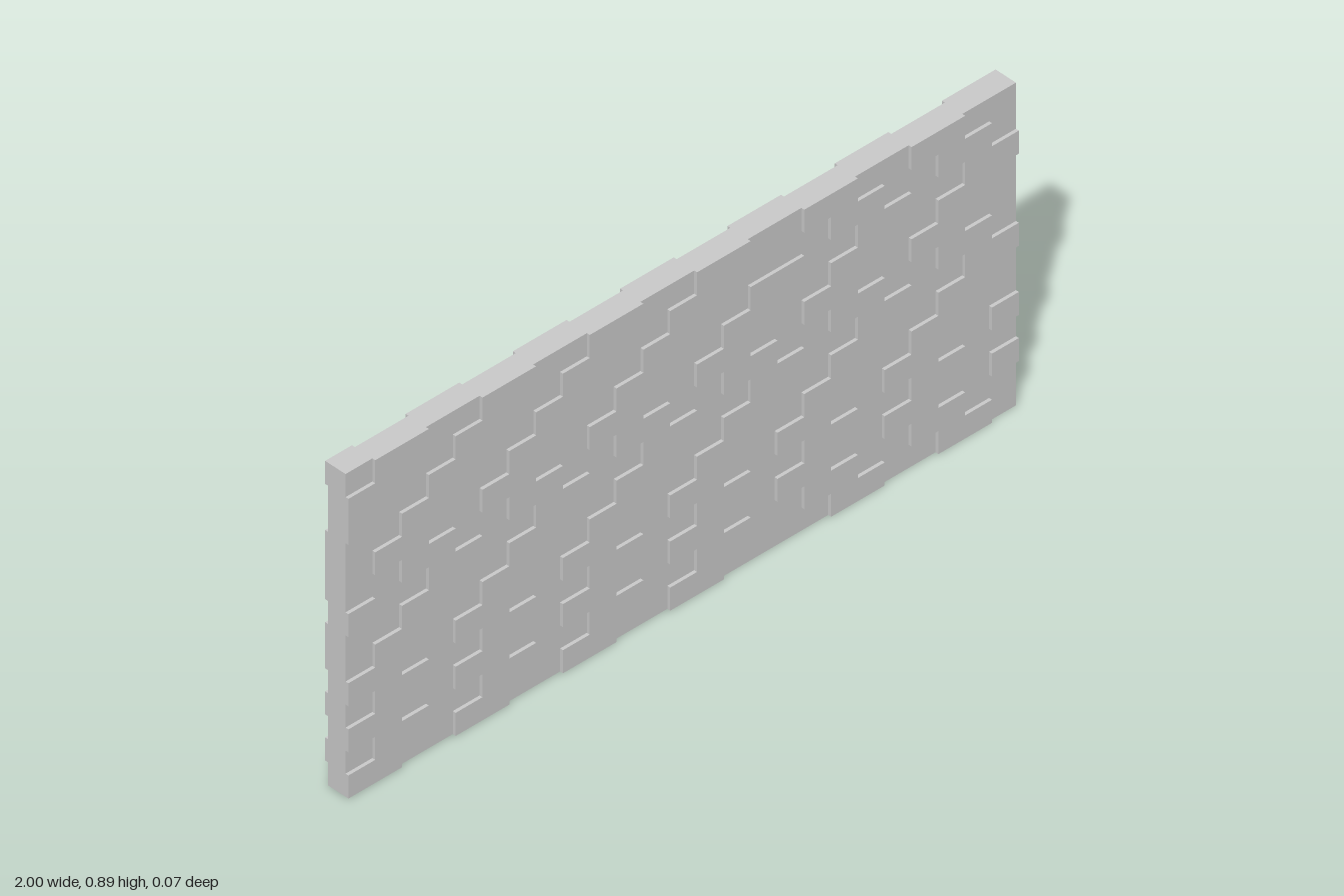
import * as THREE from 'three';

// Running-bond wall: full bricks with a half brick at alternating ends
const ROWS = 14, BRICK = 0.16, COURSE = 0.886 / ROWS, DEPTH = 0.064, SHIFT = 0.0045;
// Per course, bottom to top: does the last brick (+x end) stand forward (1) or back (0)?
const LAST = [0, 0, 1, 0, 1, 0, 0, 1, 0, 0, 0, 1, 0, 0];
// Courses whose alternation slips by one brick part-way along
const SLIPPED = [0, 12];

export function createModel() {
  const wall = new THREE.Group();
  wall.name = 'brickWall';
  const material = new THREE.MeshStandardMaterial({ color: 0xcccccc, flatShading: true });
  const full = new THREE.BoxGeometry(BRICK, COURSE, DEPTH);
  const half = new THREE.BoxGeometry(BRICK / 2, COURSE, DEPTH);

  for (let row = 0; row < ROWS; row++) {
    const course = new THREE.Group();
    course.name = 'course' + (row + 1);
    const halfIndex = row % 2 ? 0 : 12;
    let x = -1;
    for (let i = 0; i < 13; i++) {
      const isHalf = i === halfIndex;
      const width = isHalf ? BRICK / 2 : BRICK;
      const slip = SLIPPED.includes(row) && i < 8 ? 1 : 0;
      const forward = (LAST[row] + 12 - i + slip) % 2 === 1;
      const brick = new THREE.Mesh(isHalf ? half : full, material);
      brick.name = isHalf ? 'halfBrick' : 'brick';
      brick.position.set(x + width / 2, (row + 0.5) * COURSE, forward ? SHIFT : -SHIFT);
      course.add(brick);
      x += width;
    }
    wall.add(course);
  }
  return wall;
}
